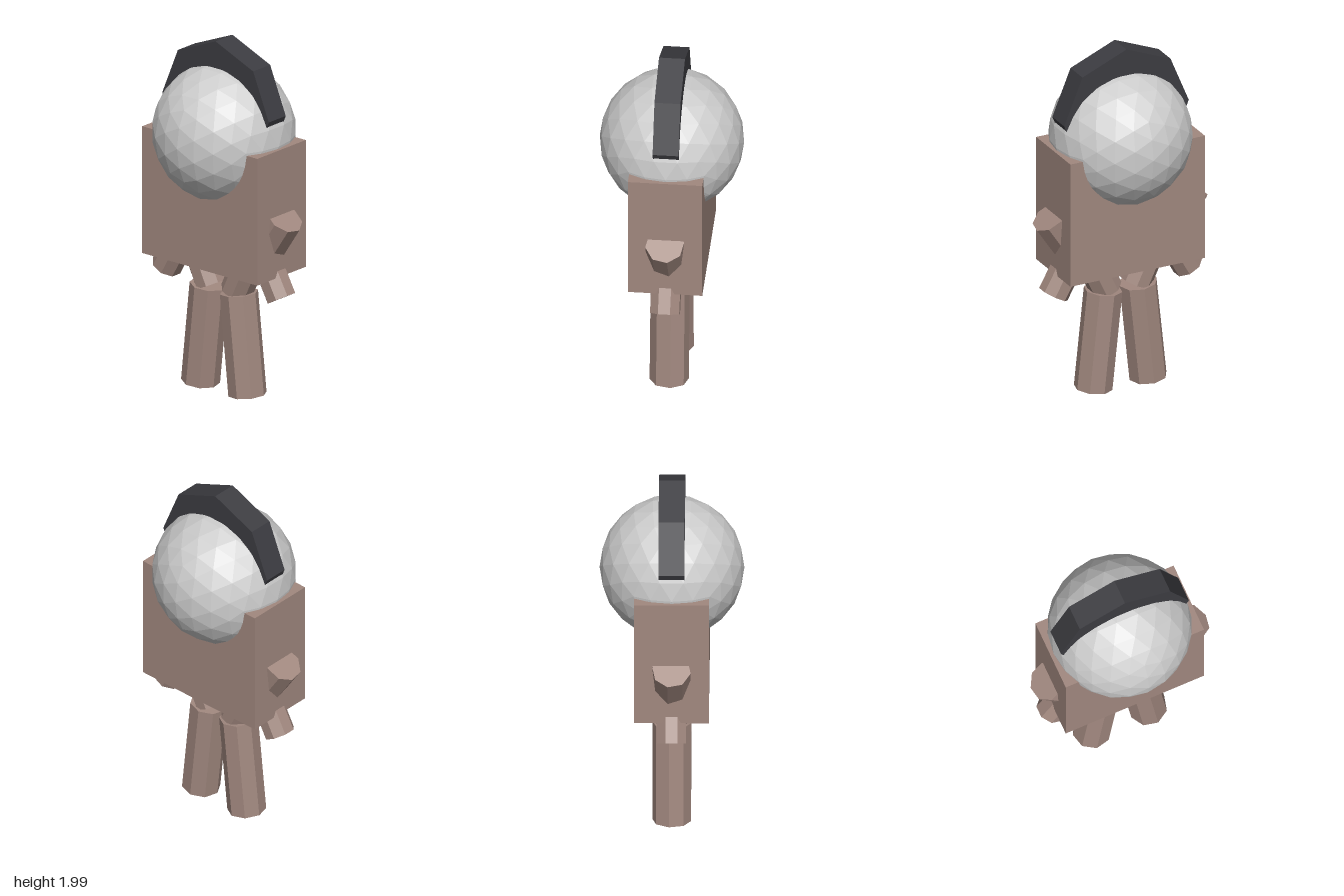
import * as THREE from 'three';

const mat = (color) => new THREE.MeshStandardMaterial({ color, flatShading: true });

export function createModel() {
  const model = new THREE.Group();
  const brown = mat(0xa1887f);
  const grey = mat(0xcccccc);
  const dark = mat(0x3c3c41);

  const add = (name, geometry, material, x, y) => {
    const mesh = new THREE.Mesh(geometry, material);
    mesh.name = name;
    mesh.position.set(x, y, 0);
    model.add(mesh);
    return mesh;
  };

  // Block torso with the faceted head sunk into it
  add('torso', new THREE.BoxGeometry(0.81, 0.72, 0.4), brown, 0, 1.1);
  add('head', new THREE.IcosahedronGeometry(0.388, 3), grey, 0, 1.473);

  // Eight-sided band over the head, its lower half buried
  const band = new THREE.CylinderGeometry(0.375, 0.375, 0.14, 8);
  band.rotateX(Math.PI / 2);
  add('headBand', band, dark, 0, 1.625);

  // Eight-sided limb running from (x0, y0) to (x1, y1), twisted about its axis
  const limb = (name, side, radius, twist, [x0, y0], [x1, y1]) => {
    const length = Math.hypot(x1 - x0, y1 - y0);
    const geometry = new THREE.CylinderGeometry(radius, radius, length, 8);
    geometry.rotateY(THREE.MathUtils.degToRad(twist * side));
    const mesh = add(name, geometry, brown, side * (x0 + x1) / 2, (y0 + y1) / 2);
    mesh.rotation.z = -side * Math.atan2(x1 - x0, y1 - y0);
  };

  // Bent arms and legs, mirrored
  for (const [label, side] of [['left', 1], ['right', -1]]) {
    limb(label + 'UpperArm', side, 0.105, 11, [0.273, 0.844], [0.427, 1.076]);
    limb(label + 'Forearm', side, 0.085, 22.5, [0.405, 0.615], [0.275, 0.85]);
    limb(label + 'Thigh', side, 0.09, 22.5, [0.088, 0.584], [0.205, 0.835]);
    limb(label + 'Shin', side, 0.105, 8, [0.165, 0.016], [0.105, 0.582]);
  }
  return model;
}
